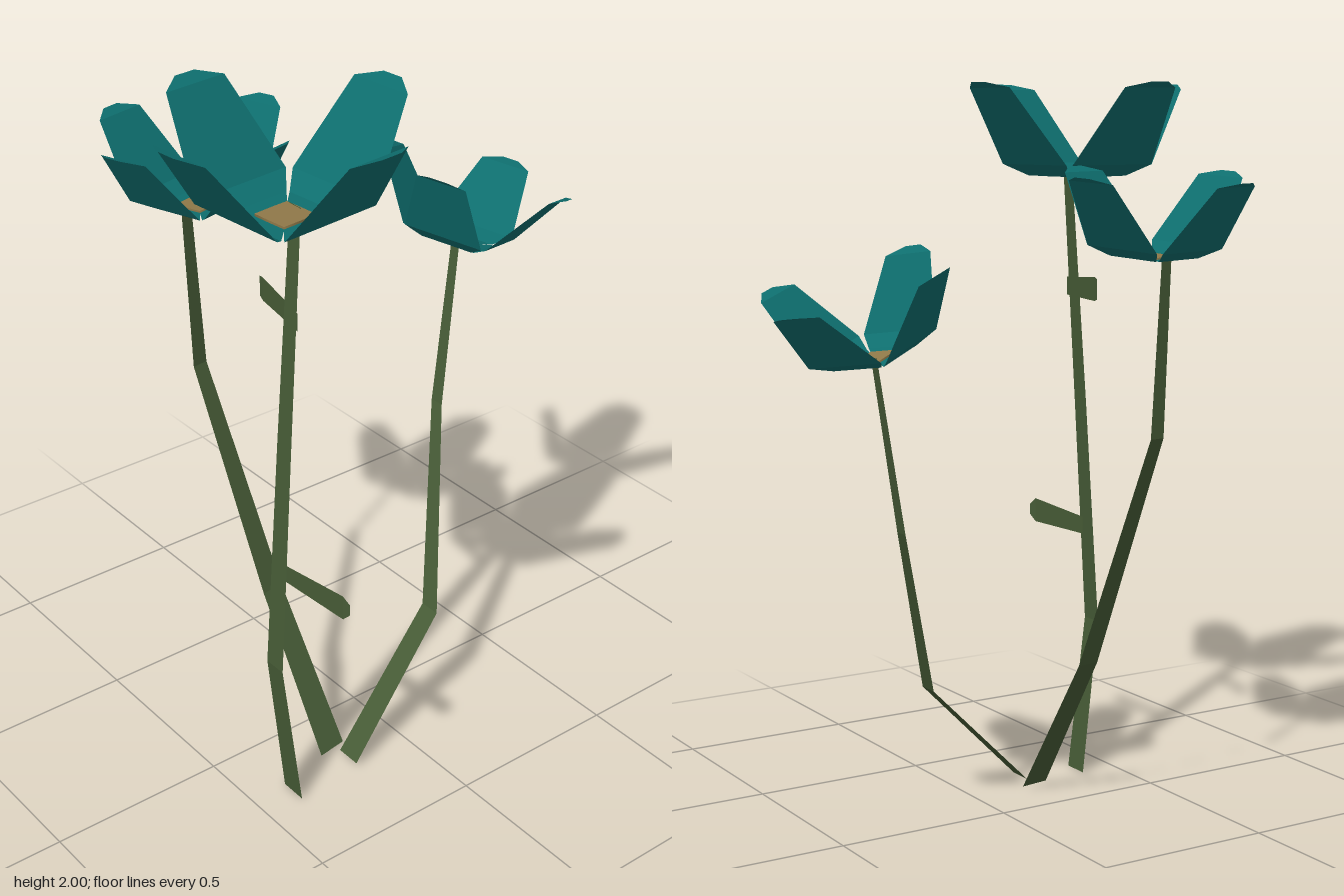
import * as THREE from 'three';

const mat = (name, color) => {
  const m = new THREE.MeshStandardMaterial({ color, side: THREE.DoubleSide });
  m.name = name;
  return m;
};

// Flat-shaded strip joining successive cross-lines, each given as [pointA, pointB]
function strip(lines) {
  const pos = [];
  for (let i = 0; i < lines.length - 1; i++) {
    const [a, b] = lines[i];
    const [c, d] = lines[i + 1];
    pos.push(...a, ...c, ...b, ...b, ...c, ...d);
  }
  const g = new THREE.BufferGeometry();
  g.setAttribute('position', new THREE.Float32BufferAttribute(pos, 3));
  g.computeVertexNormals();
  return g;
}

// Ribbon along centre points; every row is [x, y, z, halfWidth], spread along dir
const ribbon = (rows, dir) => strip(rows.map(([x, y, z, w]) => [
  [x - dir[0] * w, y - dir[1] * w, z - dir[2] * w],
  [x + dir[0] * w, y + dir[1] * w, z + dir[2] * w],
]));

export function createModel() {
  const model = new THREE.Group();
  const petalTeal = mat('petalTeal', 0x0e6e6e);
  const stemGreen = mat('stemGreen', 0x465b36);
  const centreOchre = mat('centreOchre', 0x8f7848);

  const add = (parent, name, geometry, material) => {
    const mesh = new THREE.Mesh(geometry, material);
    mesh.name = name;
    parent.add(mesh);
    return mesh;
  };

  // Stems: flat, tapering, bent ribbons
  add(model, 'tallStem', ribbon([
    [0.223, 0, 0.388, 0.039], [0.222, 0.45, 0.44, 0.034],
    [0.22, 1.1, 0.395, 0.029], [0.215, 1.75, 0.345, 0.022],
  ], [1, 0, 0]), stemGreen);
  add(model, 'rightStem', ribbon([
    [0.152, 0.008, 0.198, 0.043], [-0.105, 0.42, 0.208, 0.034],
    [-0.32, 1.07, 0.277, 0.023], [-0.325, 1.55, 0.297, 0.017],
  ], [0.15, 0, 1]), stemGreen);
  add(model, 'backStem', ribbon([
    [0.215, 0.015, 0.19, 0.037], [0.156, 0.34, -0.15, 0.031],
    [-0.07, 0.84, -0.355, 0.022], [-0.125, 1.31, -0.46, 0.016],
  ], [1, 0, 0]), stemGreen);

  // Small leaves on the tall stem
  add(model, 'lowerLeaf', ribbon([
    [0.22, 0.735, 0.405, 0.025], [0.45, 0.745, 0.39, 0.035], [0.47, 0.745, 0.383, 0.015],
  ], [0, 1, 0]), stemGreen);
  add(model, 'upperLeaf', ribbon([
    [0.21, 1.435, 0.34, 0.025], [0.02, 1.44, 0.305, 0.033], [0, 1.44, 0.3, 0.028],
  ], [0, 1, 0]), stemGreen);

  // Flower: four folded petals around a square centre
  const petalGeo = ribbon([
    [0, 0, 0, 0.055], [0, 0, 0.055, 0.055], [0, 0.003, 0.1, 0.095],
    [0, 0.035, 0.155, 0.143], [0, 0.245, 0.31, 0.09], [0, 0.26, 0.35, 0.03],
  ], [1, 0, 0]);
  const centreGeo = new THREE.CylinderGeometry(0.066, 0.066, 0.006, 8);
  // Squash the octagon into a square with clipped corners
  const p = centreGeo.attributes.position;
  for (let i = 0; i < p.count; i++) {
    p.setX(i, THREE.MathUtils.clamp(p.getX(i) * 1.1, -0.052, 0.052));
    p.setZ(i, THREE.MathUtils.clamp(p.getZ(i) * 1.1, -0.052, 0.052));
  }

  const flowers = [
    { name: 'tallFlower', at: [0.237, 1.74, 0.39], scale: 1, rot: [0, 0.1, 0] },
    { name: 'rightFlower', at: [-0.303, 1.545, 0.272], scale: 0.83, rot: [0, 0.24, 0.06] },
    { name: 'backFlower', at: [-0.105, 1.305, -0.445], scale: 0.8, rot: [-0.3, 0.45, 0] },
  ];
  for (const f of flowers) {
    const flower = new THREE.Group();
    flower.name = f.name;
    for (let i = 0; i < 4; i++) {
      add(flower, 'petal', petalGeo, petalTeal).rotation.y = i * Math.PI / 2;
    }
    add(flower, 'flowerCentre', centreGeo, centreOchre).position.y = 0.005;
    flower.position.set(...f.at);
    flower.rotation.set(...f.rot, 'XZY');
    flower.scale.setScalar(f.scale);
    model.add(flower);
  }
  return model;
}
